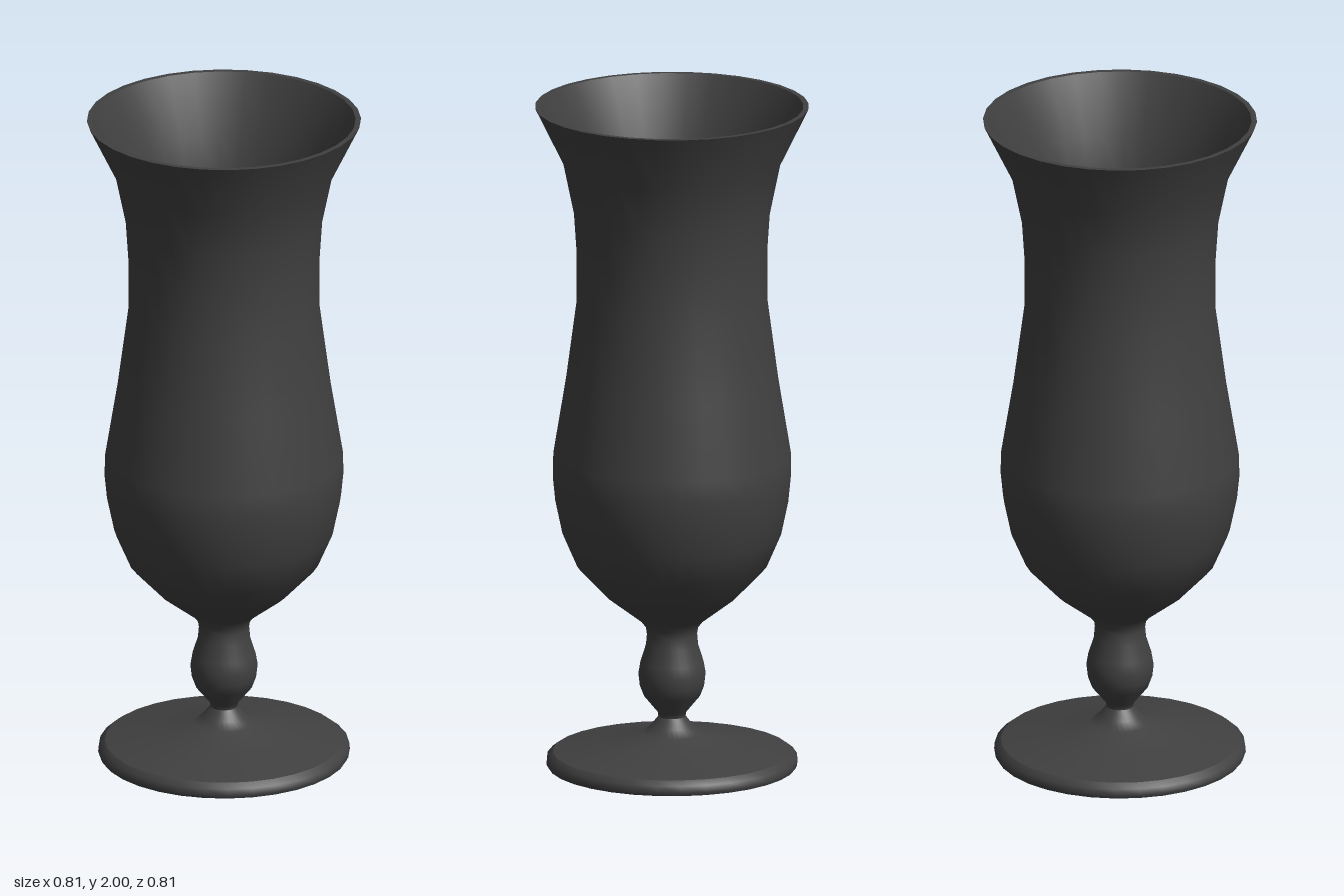
import * as THREE from 'three';

const SIDES = 32;
const material = new THREE.MeshStandardMaterial({ color: 0x404040 });

// Revolves a profile of [radius, height] pairs; the solid lies left of the path.
function turned(name, profile) {
  const points = profile.map(([r, y]) => new THREE.Vector2(r, y));
  const mesh = new THREE.Mesh(new THREE.LatheGeometry(points, SIDES), material);
  mesh.name = name;
  return mesh;
}

export function createModel() {
  const glass = new THREE.Group();
  glass.name = 'footedGlass';

  // Foot: flat underside, rounded edge, shallow cone
  const foot = new THREE.Group();
  foot.name = 'foot';
  foot.add(
    turned('footUnderside', [[0, 0], [0.365, 0]]),
    turned('footEdge', [[0.365, 0], [0.37, 0.01], [0.368, 0.03], [0.35, 0.044]]),
    turned('footTop', [[0.35, 0.044], [0.22, 0.071], [0.088, 0.099], [0.062, 0.122], [0.04, 0.15]])
  );

  // Stem: baluster knob between two narrow necks
  const stem = turned('stem', [
    [0.04, 0.15], [0.042, 0.163], [0.083, 0.213], [0.095, 0.245], [0.099, 0.28],
    [0.093, 0.315], [0.077, 0.365], [0.074, 0.4], [0.077, 0.42], [0.092, 0.44],
  ]);

  // Bowl: bulb, narrow waist and flared mouth, with a thin wall
  const bowl = new THREE.Group();
  bowl.name = 'bowl';
  const outer = [
    [0.092, 0.44], [0.19, 0.515], [0.28, 0.61], [0.323, 0.71], [0.344, 0.81],
    [0.351, 0.88], [0.35, 0.945], [0.313, 1.17], [0.281, 1.41], [0.281, 1.56],
    [0.289, 1.68], [0.32, 1.83], [0.403, 2],
  ];
  const wall = 0.016;
  const inner = outer.map(([r, y], i) => [r - wall, i < 3 ? y + 0.012 : y]).reverse();
  bowl.add(
    turned('bowlOutside', outer),
    turned('rim', [outer.at(-1), inner[0]]),
    turned('bowlInside', inner),
    turned('bowlFloor', [inner.at(-1), [0, inner.at(-1)[1]]])
  );

  glass.add(foot, stem, bowl);
  return glass;
}
